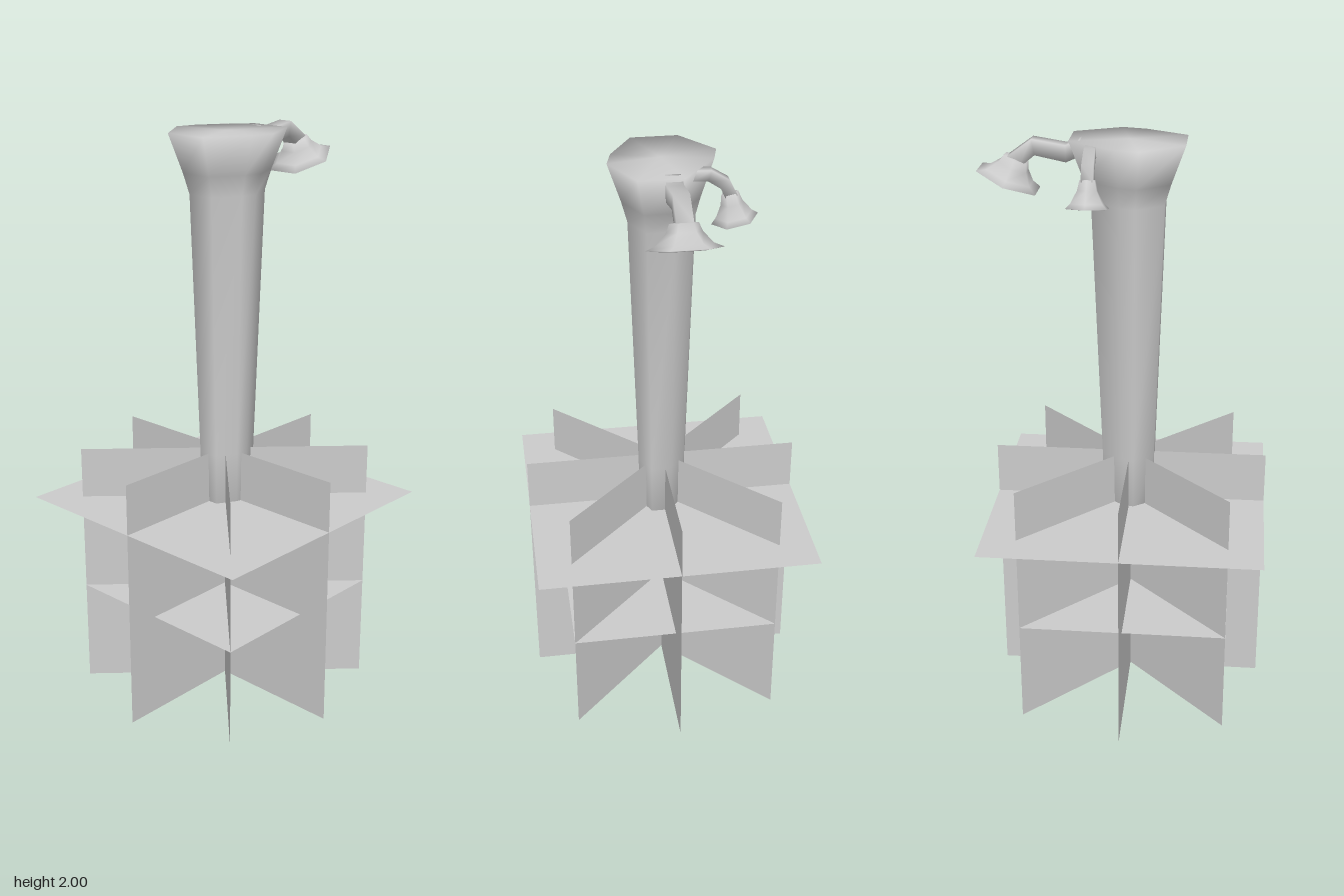
import * as THREE from 'three';

const material = new THREE.MeshStandardMaterial({ color: 0xcccccc, side: THREE.DoubleSide });

function addMesh(parent, geometry, name) {
  const mesh = new THREE.Mesh(geometry, material);
  mesh.name = name;
  parent.add(mesh);
  return mesh;
}

// Skin a list of rings (equal numbers of points), closing both ends with a fan
function loft(rings) {
  const n = rings[0].length;
  const points = rings.flat();
  const index = [];
  for (let r = 0; r < rings.length - 1; r++) {
    for (let i = 0; i < n; i++) {
      const a = r * n + i, b = r * n + (i + 1) % n;
      index.push(a, b, b + n, a, b + n, a + n);
    }
  }
  [rings[0], rings[rings.length - 1]].forEach((ring, end) => {
    const centre = ring.reduce((s, p) => s.add(p), new THREE.Vector3()).divideScalar(n);
    const c = points.push(centre) - 1;
    const base = end ? (rings.length - 1) * n : 0;
    for (let i = 0; i < n; i++) {
      const a = base + i, b = base + (i + 1) % n;
      index.push(...(end ? [a, b, c] : [b, a, c]));
    }
  });
  const geometry = new THREE.BufferGeometry().setFromPoints(points);
  geometry.setIndex(index);
  geometry.computeVertexNormals();
  return geometry;
}

// Square arm following a path of [out, y, halfWidth], with a six-sided bell at its end
function createBranch(name, path, bell) {
  const group = new THREE.Group();
  group.name = name;
  const rings = path.map(([x, y, r], i) => {
    const p = path[Math.max(i - 1, 0)], q = path[Math.min(i + 1, path.length - 1)];
    const t = new THREE.Vector2(q[0] - p[0], q[1] - p[1]).normalize();
    return [[1, 1], [1, -1], [-1, -1], [-1, 1]].map(([u, s]) =>
      new THREE.Vector3(x - t.y * u * r, y + t.x * u * r, s * r));
  });
  addMesh(group, loft(rings), name + 'Arm');

  const profile = bell.profile.map(([r, d]) => new THREE.Vector2(r, -d));
  const cup = addMesh(group, new THREE.LatheGeometry(profile, 6, bell.phase), name + 'Bell');
  cup.position.set(bell.x, bell.y, 0);
  cup.rotation.z = bell.tilt;
  return group;
}

export function createModel() {
  const model = new THREE.Group();
  model.name = 'trunkWithCrossedPanels';

  // Crossed upright panels
  const panels = new THREE.Group();
  panels.name = 'panels';
  panels.position.x = -0.005;
  model.add(panels);
  for (let i = 0; i < 4; i++) {
    const width = i % 2 ? 1.01 : 0.95;
    const panel = addMesh(panels, new THREE.PlaneGeometry(width, 0.9), 'uprightPanel' + (i + 1));
    panel.position.y = 0.45;
    panel.rotation.y = i * Math.PI / 4;
  }

  // Level panels
  [['upperPanel', 0.95, 0.72], ['lowerPanel', 0.715, 0.37]].forEach(([name, size, y]) => {
    const panel = addMesh(panels, new THREE.PlaneGeometry(size, size), name);
    panel.rotation.x = -Math.PI / 2;
    panel.position.y = y;
  });

  // Flared eight-sided trunk, outline in x and z at the top
  const outline = [[-0.185, 0.075], [-0.045, 0.155], [0.035, 0.175], [0.19, 0.1],
    [0.19, -0.045], [0.035, -0.16], [-0.045, -0.18], [-0.185, -0.08]];
  const trunkRings = [[0.69, 0.46], [0.9, 0.48], [1.8, 0.64], [1.87, 0.75], [2, 1]].map(([y, s]) =>
    outline.map(([x, z]) => new THREE.Vector3(x * s, y, z * s)));
  addMesh(model, loft(trunkRings), 'trunk');

  // Large branch toward +x
  const large = createBranch('largeBranch',
    [[0.145, 1.98, 0.024], [0.2, 1.957, 0.027], [0.305, 1.976, 0.026], [0.372, 1.925, 0.026]],
    { x: 0.362, y: 1.938, tilt: 0.38, phase: 0,
      profile: [[0, 0], [0.044, 0.004], [0.055, 0.03], [0.085, 0.064], [0.117, 0.078], [0.09, 0.082], [0, 0.03]] });
  large.position.z = -0.012;
  model.add(large);

  // Small branch toward the back
  const small = createBranch('smallBranch',
    [[0.075, 1.982, 0.017], [0.13, 1.98, 0.018], [0.178, 1.95, 0.019], [0.2, 1.905, 0.019]],
    { x: 0.195, y: 1.918, tilt: 0.2, phase: Math.PI / 2,
      profile: [[0, 0], [0.027, 0.003], [0.035, 0.035], [0.058, 0.075], [0.075, 0.09], [0.058, 0.092], [0, 0.04]] });
  small.position.x = 0.112;
  small.rotation.y = Math.PI / 2;
  model.add(small);

  return model;
}
